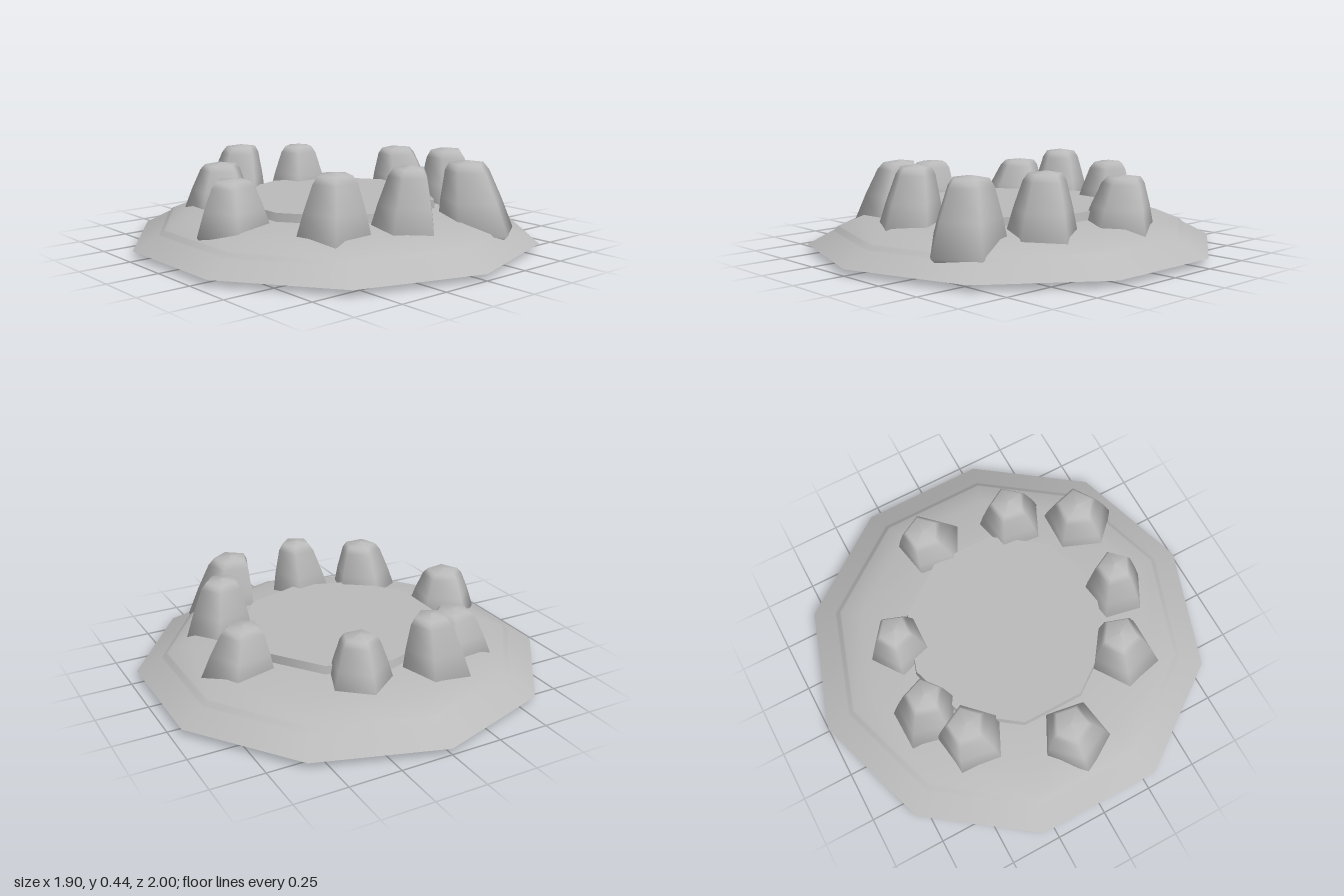
import * as THREE from 'three';

const rad = THREE.MathUtils.degToRad;

// Surface of revolution with few sides from [radius, y] points, bottom to top
function turned(points, sides, phase = 0) {
  return new THREE.LatheGeometry(points.map(([r, y]) => new THREE.Vector2(r, y)), sides, phase);
}

// Five-sided stone that tapers and leans from its base centre to its top centre
function stoneGeometry({ base, top, height, radius, turn, foot = 0.05, baseY = 0.13 }) {
  const rise = height - baseY;
  const profile = [
    [0, foot], [radius * 0.7, foot], [radius, baseY],
    [radius * 0.8, baseY + rise * 0.45], [radius * 0.58, baseY + rise * 0.85],
    [radius * 0.45, baseY + rise * 0.96], [0, height],
  ];
  const geometry = turned(profile, 5, rad(90 - turn));
  const p = geometry.attributes.position;
  for (let i = 0; i < p.count; i++) {
    const t = Math.max(0, (p.getY(i) - baseY) / rise);
    p.setX(i, p.getX(i) + base[0] + (top[0] - base[0]) * t);
    p.setZ(i, p.getZ(i) + base[1] + (top[1] - base[1]) * t);
  }
  return geometry;
}

export function createModel() {
  const model = new THREE.Group();
  const grey = new THREE.MeshStandardMaterial({ color: 0xbbbbbb });
  grey.name = 'stone grey';

  const add = (name, geometry) => {
    const mesh = new THREE.Mesh(geometry, grey);
    mesh.name = name;
    model.add(mesh);
  };

  // Ten-sided mound, one strip for each smooth stretch
  add('underside', turned([[0, 0.03], [1, 0.03]], 10));
  add('outerSlope', turned([[1, 0.03], [0.88, 0.093], [0.87, 0.097], [0.855, 0.113], [0.845, 0.117], [0.73, 0.165], [0.5, 0.18]], 10));
  add('hearthWall', turned([[0.5, 0.18], [0.495, 0.22]], 10));
  add('hearthFloor', turned([[0.495, 0.22], [0, 0.22]], 10));

  // Ring of leaning stones
  const stones = [
    { base: [-0.21, -0.55], top: [-0.18, -0.53], height: 0.43, radius: 0.17, turn: 15 },
    { base: [-0.41, -0.4], top: [-0.38, -0.42], height: 0.37, radius: 0.18, turn: 9 },
    { base: [0.17, -0.5], top: [0.18, -0.51], height: 0.4, radius: 0.165, turn: -16 },
    { base: [0.59, -0.11], top: [0.58, -0.16], height: 0.39, radius: 0.18, turn: 8 },
    { base: [0.51, 0.31], top: [0.5, 0.28], height: 0.44, radius: 0.175, turn: 6 },
    { base: [0.36, 0.62], top: [0.33, 0.57], height: 0.43, radius: 0.19, turn: 20, baseY: 0.1 },
    { base: [-0.08, 0.58], top: [-0.04, 0.57], height: 0.445, radius: 0.165, turn: 9, foot: 0 },
    { base: [-0.39, 0.45], top: [-0.35, 0.42], height: 0.43, radius: 0.18, turn: -18 },
    { base: [-0.63, 0.04], top: [-0.61, 0.01], height: 0.375, radius: 0.18, turn: -27 },
  ];
  stones.forEach((stone, i) => add(`stone${i + 1}`, stoneGeometry(stone)));
  return model;
}
